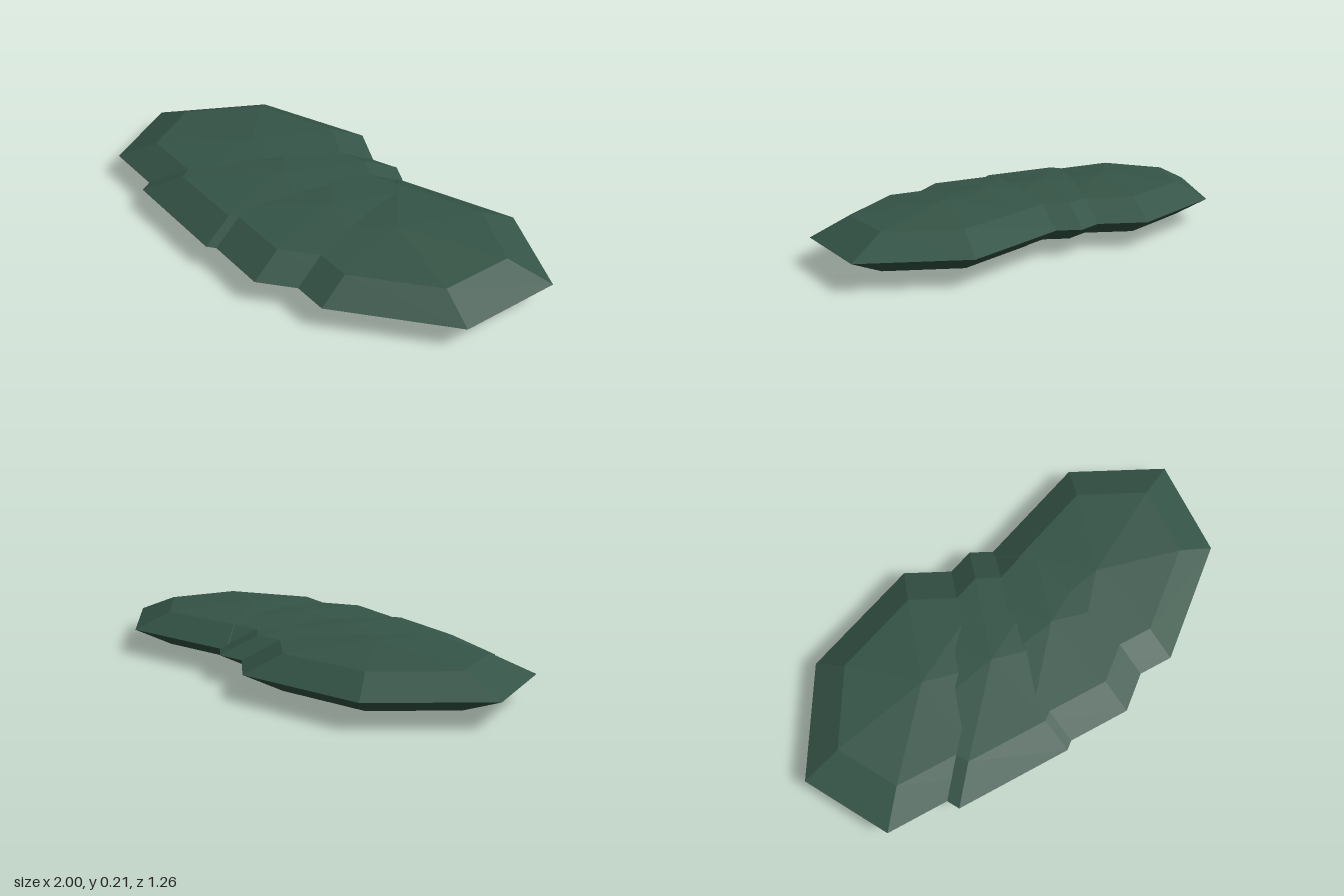
import * as THREE from 'three';

// A flat leafy pad made of four overlapping low-poly lobes
export function createModel() {
  const model = new THREE.Group();
  model.name = 'leafPad';

  const leafGreen = new THREE.MeshStandardMaterial({ color: 0x355447 });
  leafGreen.name = 'leafGreen';
  leafGreen.flatShading = true;

  // Seven-sided squashed sphere with one corner pointing to +x
  const lobeGeometry = new THREE.SphereGeometry(1, 7, 4, Math.PI);
  lobeGeometry.scale(0.634, 0.105, 0.46);

  // Lobe centres on the ground plane: [x, z]
  const centres = [[-0.43, -0.18], [-0.2, 0.01], [0.07, 0.135], [0.366, 0.18]];
  centres.forEach(([x, z], i) => {
    const lobe = new THREE.Mesh(lobeGeometry, leafGreen);
    lobe.name = `lobe${i + 1}`;
    lobe.position.set(x, 0.105, z);
    model.add(lobe);
  });

  return model;
}
